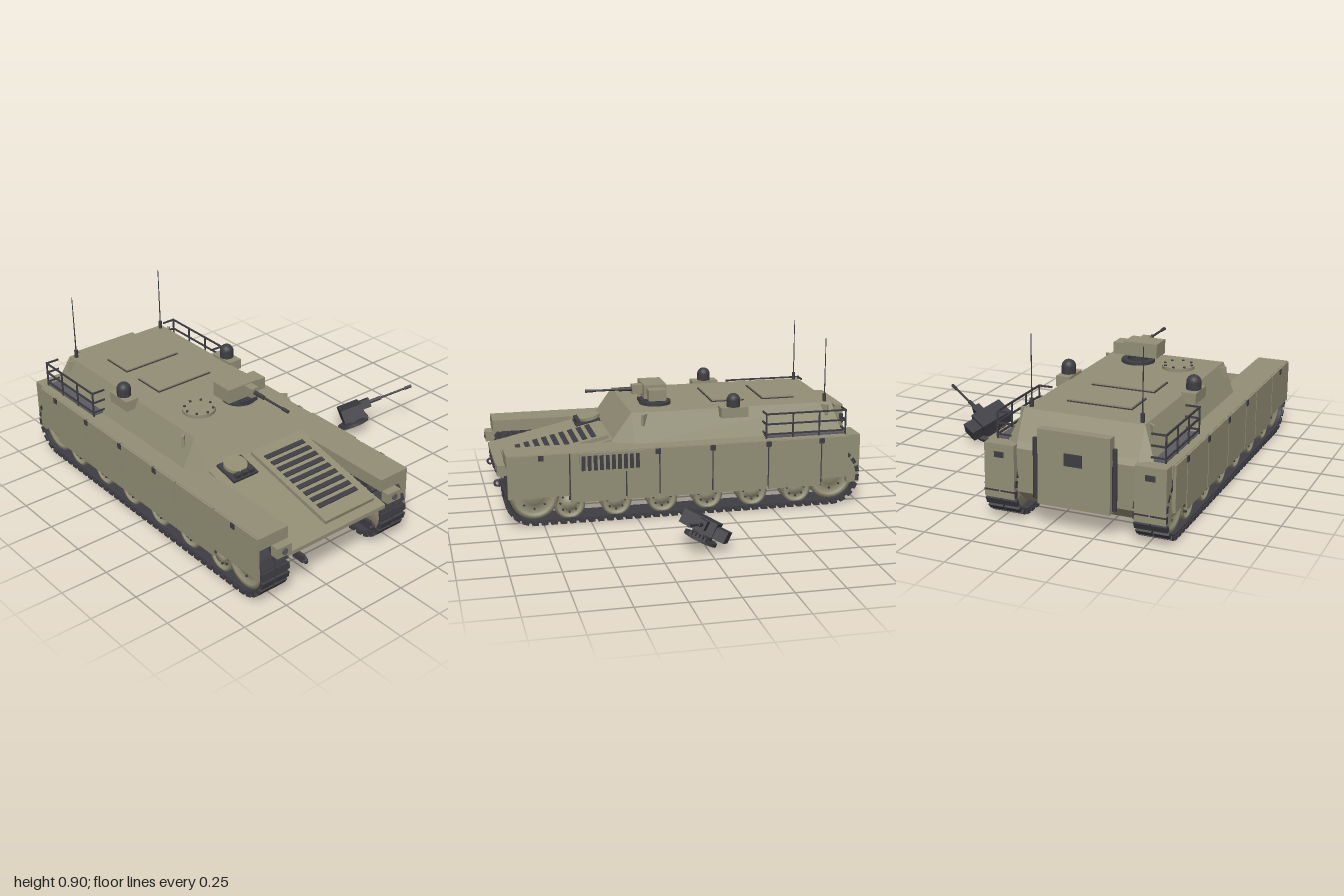
import * as THREE from 'three';
import { mergeGeometries } from 'three/addons/utils/BufferGeometryUtils.js';
import { ConvexGeometry } from 'three/addons/geometries/ConvexGeometry.js';

const paint = (name, color) => {
  const m = new THREE.MeshStandardMaterial({ color });
  m.name = name;
  return m;
};

export function createModel() {
  const khaki = paint('khaki', 0x928e75);
  const dark = paint('darkMetal', 0x3d3d43);
  const grey = paint('rackGrey', 0x5b5b62);
  const model = new THREE.Group();
  model.name = 'trackedCarrier';
  const vehicle = new THREE.Group();
  vehicle.name = 'vehicle';
  vehicle.position.x = -0.395;
  model.add(vehicle);

  const add = (parent, name, geo, mat, x = 0, y = 0, z = 0) => {
    const m = new THREE.Mesh(geo, mat);
    m.name = name;
    m.position.set(x, y, z);
    parent.add(m);
    return m;
  };
  const box = (parent, name, mat, w, h, d, x, y, z) =>
    add(parent, name, new THREE.BoxGeometry(w, h, d), mat, x, y, z);
  const disc = (parent, name, mat, r, h, x, y, z, seg = 28, r2 = r) =>
    add(parent, name, new THREE.CylinderGeometry(r2, r, h, seg), mat, x, y, z);
  // extrudes a side profile given in (z, y) across the width
  const sideExtrude = (shape, width) => {
    const g = new THREE.ExtrudeGeometry(shape, { depth: width, bevelEnabled: false, curveSegments: 20 });
    return g.translate(0, 0, -width / 2).rotateY(-Math.PI / 2);
  };

  // Hull
  const profile = [[0.97, 0.25], [0.97, 0.27], [0.35, 0.41], [-0.95, 0.41], [-0.97, 0.38], [-0.96, 0.16],
    [-0.88, 0.09], [0.76, 0.09]];
  const hullShape = new THREE.Shape(profile.map(([z, y]) => new THREE.Vector2(z, y)));
  add(vehicle, 'hull', sideExtrude(hullShape, 0.6), khaki);

  // Sloped superstructure
  const corners = [];
  for (const s of [-1, 1]) {
    for (const [x, y, z] of [[0.37, 0.39, 0.24], [0.305, 0.39, 0.365], [0.305, 0.55, 0.25],
      [0.305, 0.55, -0.875], [0.37, 0.39, -0.92], [0.305, 0.39, -0.96]])
      corners.push(new THREE.Vector3(s * x, y, z));
  }
  add(vehicle, 'superstructure', new ConvexGeometry(corners), khaki);

  // Fittings lying on the sloped front plate
  const glacis = new THREE.Group();
  glacis.name = 'glacisFittings';
  glacis.position.set(0, 0.41, 0.35);
  glacis.rotation.x = 0.222;
  vehicle.add(glacis);
  box(glacis, 'enginePanel', khaki, 0.315, 0.02, 0.57, 0.11, 0.01, 0.3);
  for (let i = 0; i < 9; i++)
    box(glacis, 'engineSlat', dark, 0.25, 0.008, 0.027, 0.11, 0.021, 0.09 + i * 0.05);
  box(glacis, 'driverHatchBase', dark, 0.15, 0.014, 0.14, -0.175, 0.006, 0.07);
  disc(glacis, 'driverHatch', khaki, 0.06, 0.02, -0.175, 0.02, 0.05);
  for (const x of [-0.04, 0, 0.04])
    box(glacis, 'driverPeriscope', dark, 0.03, 0.028, 0.022, -0.175 + x, 0.022, 0.122);

  // Roof
  for (const z of [-0.612, -0.322]) {
    box(vehicle, 'roofHatchSeam', dark, 0.336, 0.006, 0.186, -0.005, 0.552, z);
    box(vehicle, 'roofHatch', khaki, 0.328, 0.014, 0.178, -0.005, 0.555, z);
  }
  disc(vehicle, 'commanderHatch', khaki, 0.085, 0.02, -0.125, 0.558, 0.05);
  for (let i = 0; i < 8; i++) {
    const a = (i * Math.PI) / 4;
    disc(vehicle, 'hatchBolt', dark, 0.007, 0.008, -0.125 + 0.073 * Math.cos(a), 0.57, 0.05 + 0.073 * Math.sin(a), 8);
  }

  // Remote gun mount, origin at the base centre, barrel along +z
  const makeGunMount = (bodyMat) => {
    const g = new THREE.Group();
    disc(g, 'mountRing', dark, 0.088, 0.018, 0, 0.009, 0);
    disc(g, 'mountPedestal', dark, 0.055, 0.03, 0, 0.028, 0);
    for (let i = -2; i <= 2; i++) box(g, 'mountTooth', dark, 0.014, 0.02, 0.03, i * 0.02, 0.022, 0.075);
    box(g, 'mountBody', bodyMat, 0.185, 0.075, 0.125, -0.03, 0.08, 0.01);
    box(g, 'sightBox', bodyMat, 0.065, 0.06, 0.095, 0.094, 0.072, 0.01);
    box(g, 'gunMantlet', bodyMat, 0.046, 0.05, 0.06, 0, 0.088, 0.1);
    const rod = (name, r, z0, z1) =>
      add(g, name, new THREE.CylinderGeometry(r, r, z1 - z0, 12).rotateX(Math.PI / 2), dark, 0, 0.088, (z0 + z1) / 2);
    rod('barrelSleeve', 0.011, 0.13, 0.2);
    rod('barrel', 0.006, 0.2, 0.38);
    rod('muzzle', 0.009, 0.345, 0.385);
    return g;
  };
  const gun = makeGunMount(khaki);
  gun.name = 'roofGun';
  gun.position.set(0.11, 0.548, 0.08);
  vehicle.add(gun);

  // Spare mount lying tilted beside the vehicle
  const spare = makeGunMount(dark);
  spare.name = 'spareGun';
  const fwd = new THREE.Vector3(0.84, 0.3, 0.45).normalize();
  const right = new THREE.Vector3(-0.11, 0.87, -0.48).cross(fwd).normalize();
  spare.quaternion.setFromRotationMatrix(
    new THREE.Matrix4().makeBasis(right, fwd.clone().cross(right), fwd));
  spare.position.set(0.58, 0.05, 0.035);
  model.add(spare);

  // Track: a band with a ring of links around a stadium path
  const Y = 0.167, R = 0.142, ZF = 0.795, ZR = -0.835;
  const stadium = (Cls, r) => {
    const s = new Cls();
    s.absarc(ZF, Y, r, -Math.PI / 2, Math.PI / 2, false);
    s.absarc(ZR, Y, r, Math.PI / 2, Math.PI * 1.5, false);
    s.closePath();
    return s;
  };
  const bandShape = stadium(THREE.Shape, R + 0.006);
  bandShape.holes.push(stadium(THREE.Path, R - 0.008));
  const bandGeo = sideExtrude(bandShape, 0.15);
  const linkPath = stadium(THREE.Path, R + 0.008);
  const links = [];
  const count = 84;
  for (let i = 0; i < count; i++) {
    const p = linkPath.getPointAt(i / count), t = linkPath.getTangentAt(i / count);
    for (const x of [-0.043, 0.043])
      links.push(new THREE.BoxGeometry(0.078, 0.02, 0.033).rotateX(-Math.atan2(t.y, t.x)).translate(x, p.y, p.x));
  }
  const linkGeo = mergeGeometries(links);

  // Wheel with rim, dish and hub, axis along x
  const wheelGeo = (r) => {
    const pts = [[0, -0.05], [r, -0.05], [r, 0.05], [r * 0.82, 0.05], [r * 0.76, 0.032], [r * 0.4, 0.04],
      [r * 0.34, 0.06], [0, 0.06]];
    return new THREE.LatheGeometry(pts.map(([a, b]) => new THREE.Vector2(a, b)), 28).rotateZ(-Math.PI / 2);
  };
  const roadWheel = wheelGeo(0.083), endWheel = wheelGeo(0.13);
  const boltGeo = new THREE.CylinderGeometry(0.006, 0.006, 0.012, 6).rotateZ(Math.PI / 2);

  // Everything that is mirrored left and right
  for (const s of [-1, 1]) {
    const side = new THREE.Group();
    side.name = s > 0 ? 'leftSide' : 'rightSide';
    vehicle.add(side);

    add(side, 'trackBand', bandGeo, dark, s * 0.378, 0, 0);
    add(side, 'trackLinks', linkGeo, dark, s * 0.378, 0, 0);
    const wheel = (name, geo, r, y, z) => {
      add(side, name, geo, khaki, s * 0.385, y, z).rotation.y = s > 0 ? 0 : Math.PI;
      for (let i = 0; i < 8; i++) {
        const a = (i * Math.PI) / 4;
        add(side, 'wheelBolt', boltGeo, dark, s * 0.424, y + r * 0.58 * Math.sin(a), z + r * 0.58 * Math.cos(a));
      }
    };
    for (let i = 0; i < 6; i++) wheel('roadWheel', roadWheel, 0.083, 0.109, 0.61 - i * 0.25);
    wheel('driveSprocket', endWheel, 0.13, Y, ZF);
    wheel('idlerWheel', endWheel, 0.13, Y, ZR);

    // Sponson and skirt panels
    box(side, 'sponson', khaki, 0.17, 0.065, 1.87, s * 0.38, 0.3625, 0.005);
    const edges = [0.94, 0.61, 0.31, 0.13, -0.16, -0.47, -0.77, -0.925];
    for (let i = 0; i < edges.length - 1; i++) {
      const a = edges[i], b = edges[i + 1];
      const low = i === 0 || i === edges.length - 2 ? 0.165 : 0.125;
      box(side, 'skirtPanel', khaki, 0.014, 0.393 - low, a - b - 0.008, s * 0.468, (0.393 + low) / 2, (a + b) / 2);
      if (i > 0) box(side, 'skirtSeam', dark, 0.008, 0.25, 0.012, s * 0.464, 0.265, a);
    }
    for (const z of [0.76, 0.14, -0.16, -0.47, -0.77])
      box(side, 'skirtLatch', dark, 0.012, 0.028, 0.028, s * 0.474, 0.378, z);

    // Rear stowage box
    box(side, 'rearBox', khaki, 0.155, 0.27, 0.07, s * 0.38, 0.262, -0.96);
    box(side, 'rearLamp', dark, 0.05, 0.028, 0.008, s * 0.38, 0.345, -0.995);

    // Front lamp and tow eye
    box(side, 'headlampBox', khaki, 0.085, 0.055, 0.045, s * 0.35, 0.3, 0.958);
    const lamp = disc(side, 'headlamp', grey, 0.016, 0.008, s * 0.35, 0.3, 0.983, 16);
    lamp.rotation.x = Math.PI / 2;
    box(side, 'towBracket', dark, 0.018, 0.04, 0.07, s * 0.215, 0.182, 0.925);
    add(side, 'towEye', new THREE.TorusGeometry(0.015, 0.006, 8, 16).rotateY(Math.PI / 2), dark, s * 0.215, 0.182, 0.968);

    // Domed sight
    box(side, 'sightBase', khaki, 0.075, 0.055, 0.15, s * 0.335, 0.536, -0.307);
    disc(side, 'sightDrum', dark, 0.037, 0.036, s * 0.335, 0.581, -0.307);
    add(side, 'sightDome', new THREE.SphereGeometry(0.037, 24, 10, 0, Math.PI * 2, 0, Math.PI / 2), dark,
      s * 0.335, 0.599, -0.307);

    // Stowage rack
    box(side, 'rackFloor', grey, 0.062, 0.008, 0.445, s * 0.393, 0.401, -0.695);
    for (const y of [0.418, 0.474, 0.53]) {
      box(side, 'rackRail', dark, 0.007, 0.009, 0.45, s * 0.424, y, -0.695);
      for (const z of [-0.47, -0.92]) box(side, 'rackEndRail', dark, 0.075, 0.009, 0.007, s * 0.39, y, z);
    }
    for (let i = 0; i < 4; i++) box(side, 'rackPost', dark, 0.007, 0.14, 0.008, s * 0.424, 0.465, -0.47 - i * 0.15);

    // Antenna and lifting hooks
    disc(side, 'antennaBase', dark, 0.01, 0.045, s * 0.28, 0.57, -0.845, 10);
    disc(side, 'antenna', dark, 0.0035, 0.35, s * 0.28, 0.73, -0.845, 6, 0.002);
    for (const [z, turn] of [[0.175, 0.7], [-0.825, -0.7]])
      box(side, 'liftingHook', khaki, 0.065, 0.06, 0.014, s * 0.313, 0.512, z).rotation.y = -s * turn;
  }

  // Louvred intake on the left skirt
  box(vehicle, 'intakePanel', dark, 0.008, 0.1, 0.32, 0.479, 0.337, 0.395);
  for (const y of [0.29, 0.385]) box(vehicle, 'intakeFrame', khaki, 0.012, 0.014, 0.33, 0.479, y, 0.395);
  for (let i = 0; i <= 10; i++)
    box(vehicle, 'intakeBar', khaki, 0.012, 0.1, 0.011, 0.479, 0.337, 0.235 + i * 0.032);

  // Rear door
  box(vehicle, 'rearDoor', khaki, 0.365, 0.37, 0.05, 0, 0.315, -0.965);
  box(vehicle, 'doorWindow', dark, 0.09, 0.06, 0.008, 0, 0.37, -0.992);
  for (const s of [-1, 1]) disc(vehicle, 'doorHinge', dark, 0.012, 0.3, s * 0.2, 0.3, -0.975, 10);

  return model;
}
